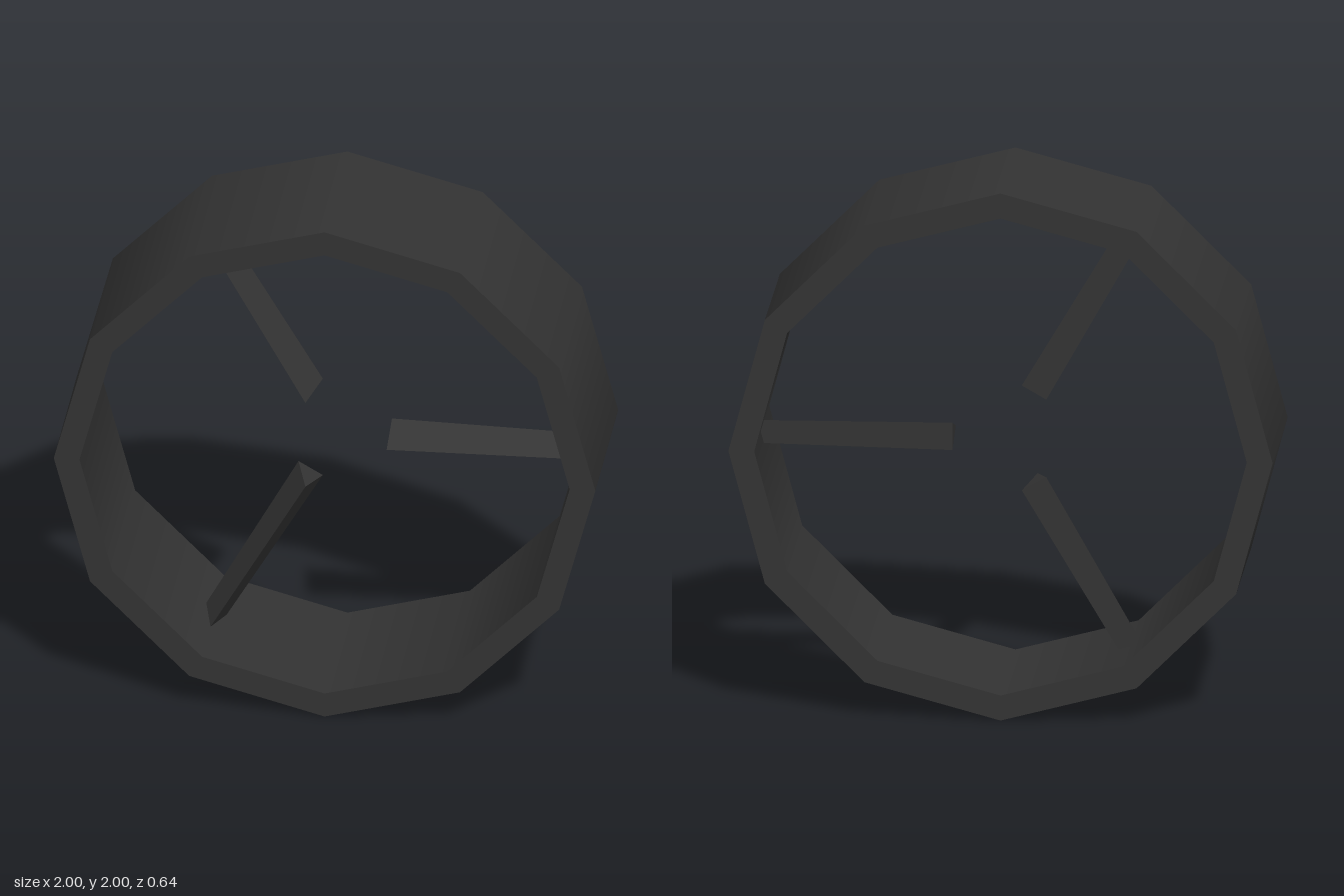
import * as THREE from 'three';

const OUTER = 1, INNER = 0.905, HALF = 0.3225, SIDES = 12;

export function createModel() {
  const model = new THREE.Group();
  const darkGrey = new THREE.MeshStandardMaterial({ color: 0x333333 });
  darkGrey.name = 'darkGrey';

  // Twelve-sided ring: four separate bands so walls shade smoothly and rims stay sharp
  const ring = new THREE.Group();
  ring.name = 'ring';
  const corners = [[OUTER, -HALF], [OUTER, HALF], [INNER, HALF], [INNER, -HALF]]
    .map(([r, y]) => new THREE.Vector2(r, y));
  ['outerWall', 'frontRim', 'innerWall', 'backRim'].forEach((name, i) => {
    const band = new THREE.LatheGeometry([corners[i], corners[(i + 1) % 4]], SIDES);
    band.rotateX(Math.PI / 2);
    const mesh = new THREE.Mesh(band, darkGrey);
    mesh.name = name;
    ring.add(mesh);
  });
  ring.position.y = 1;
  model.add(ring);

  // Three tapered wedge fins pointing inward, sharp edge towards the front
  const start = 0.2, end = 0.93;
  const fin = new THREE.CylinderGeometry(0.083, 0.1, end - start, 3)
    .scale(0.6, 1, 1)
    .translate(0, (start + end) / 2, 0)
    .rotateZ(-Math.PI / 2)
    .toNonIndexed();
  fin.computeVertexNormals();
  for (let i = 0; i < 3; i++) {
    const mesh = new THREE.Mesh(fin, darkGrey);
    mesh.name = `fin${i + 1}`;
    mesh.position.y = 1;
    mesh.rotation.z = (i * Math.PI * 2) / 3;
    model.add(mesh);
  }
  return model;
}
